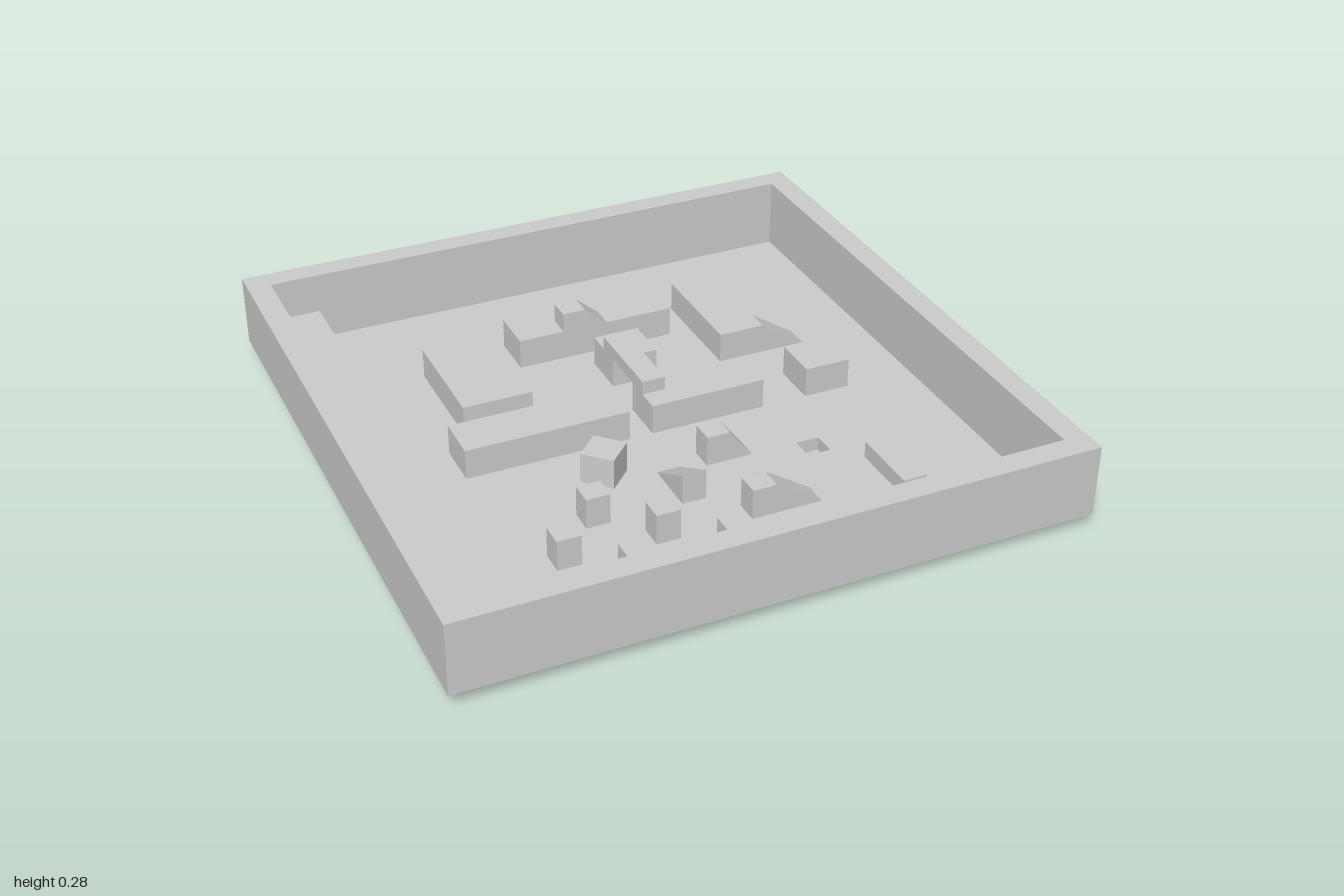
import * as THREE from 'three';

const FLOOR = 0.046, RIM = 0.28, H = 0.1;
const U = 1 / 13; // layout module, also the wall thickness

const material = new THREE.MeshStandardMaterial({ color: 0xcccccc, flatShading: true, side: THREE.DoubleSide });

// Rectangle in plan, x0..x1 by z0..z1 (shape y is -z)
function outline(Type, [x0, x1, z0, z1]) {
  const pts = [[x0, -z0], [x0, -z1], [x1, -z1], [x1, -z0]];
  return new Type(pts.map(([x, y]) => new THREE.Vector2(x, y)));
}

// Box without its bottom face
function shellGeometry([x0, x1, z0, z1], h) {
  const g = new THREE.BoxGeometry(x1 - x0, h, z1 - z0);
  const index = Array.from(g.index.array);
  index.splice(18, 6);
  g.setIndex(index);
  g.clearGroups();
  return g.translate(0, h / 2, 0);
}

export function createModel() {
  const group = new THREE.Group();
  const holes = [];

  function add(name, geometry, x = 0, y = 0, z = 0) {
    const mesh = new THREE.Mesh(geometry, material);
    mesh.name = name;
    mesh.position.set(x, y, z);
    group.add(mesh);
    return mesh;
  }

  // Hollow block on the floor, optionally cutting the floor beneath it
  function block(name, r, h = H, cut = true) {
    if (cut) holes.push(outline(THREE.Path, r));
    return add(name, shellGeometry(r, h), (r[0] + r[1]) / 2, FLOOR, (r[2] + r[3]) / 2);
  }

  // Recess hanging below the floor
  function pit(name, r, depth) {
    holes.push(outline(THREE.Path, r));
    const g = shellGeometry(r, depth).rotateX(Math.PI);
    add(name, g, (r[0] + r[1]) / 2, FLOOR, (r[2] + r[3]) / 2);
  }

  // Solid side profile in x/y, extruded from z0 to z1
  function wedge(name, pts, z0, z1, y) {
    const shape = new THREE.Shape(pts.map(([px, py]) => new THREE.Vector2(px, py)));
    const g = new THREE.ExtrudeGeometry(shape, { depth: z1 - z0, bevelEnabled: false });
    return add(name, g, 0, y, z0);
  }

  // Surrounding wall
  const inner = 1 - U;
  const ring = outline(THREE.Shape, [-1, 1, -1, 1]);
  ring.holes.push(outline(THREE.Path, [-inner, inner, -inner, inner]));
  const wall = new THREE.ExtrudeGeometry(ring, { depth: RIM - FLOOR, bevelEnabled: false });
  add('outerWall', wall.rotateX(-Math.PI / 2), 0, FLOOR, 0);

  // Long shelf beside the -x wall, hollow underneath
  block('sideShelf', [-inner, -10 * U, -inner, inner], H, false);

  // Large blocks
  const large = [
    [-7, -4, -7, -2], [-8, -1, -1, 1], [0, 5, -1, 1], [-3, 4, -8, -6],
    [5, 7, -8, -3], [0, 2, -5, -3], [7, 9, -1, 1],
  ];
  for (const r of large) block('largeBlock', r.map(v => v * U));

  // Small pillars, given by their lowest x and z
  for (const [x, z] of [[-5, 5], [-7, 7], [-3, 7], [-5, 9], [-1, 9]]) {
    block('smallPillar', [x * U, (x + 1) * U, z * U, (z + 1) * U]);
  }

  // Low bench near the front
  block('lowBench', [7 * U, 8 * U, 6 * U, 9 * U], 0.055);

  // Pillar turned by 45 degrees
  const s = U * Math.SQRT1_2;
  const turned = add('turnedPillar', shellGeometry([-s, s, -s, s], H), -3 * U, FLOOR, 3 * U);
  turned.rotation.y = Math.PI / 4;
  const diamond = [[-U, 0], [0, -U], [U, 0], [0, U]];
  holes.push(new THREE.Path(diamond.map(([x, y]) => new THREE.Vector2(x - 3 * U, y - 3 * U))));

  // Plank bridging two large blocks
  const plank = new THREE.BoxGeometry(U, 0.045, 4 * U);
  add('bridgePlank', plank, U / 2, FLOOR + H + 0.0225, -2 * U);

  // Ramp on top of the rear block
  wedge('upperRamp', [[-U, 0], [U, 0], [0, 0.065], [-U, 0.065]], -7 * U, -6 * U, FLOOR + H);

  // Ramps running down from blocks to the floor
  wedge('sideRamp', [[7 * U, 0], [9 * U, 0], [7 * U, H]], -4 * U, -3 * U, FLOOR);
  block('steepRampBlock', [U, 2 * U, 3 * U, 4 * U], H, false);
  wedge('steepRamp', [[2 * U, 0], [3 * U, 0], [2 * U, H]], 3 * U, 4 * U, FLOOR);
  block('longRampBlock', [U, 2 * U, 7 * U, 8 * U]);
  wedge('longRamp', [[2 * U, 0], [4 * U, 0], [2 * U, H]], 7 * U, 8 * U, FLOOR);

  // Ramp rising toward the front: hollow tall half, solid low half
  const zLow = 0.28, zMid = 5 * U, zHigh = 6 * U;
  const hMid = H * (zMid - zLow) / (zHigh - zLow);
  const tall = block('frontRampTop', [-U, 0, zMid, zHigh]).geometry;
  const pos = tall.attributes.position;
  for (let i = 0; i < pos.count; i++) {
    if (pos.getY(i) > 0.01 && pos.getZ(i) < 0) pos.setY(i, hMid);
  }
  tall.computeVertexNormals();
  const low = wedge('frontRampFoot', [[0, 0], [zMid - zLow, 0], [0, hMid]], 0, U, FLOOR);
  low.rotation.y = Math.PI / 2;
  low.position.set(-U, FLOOR, zMid);

  // Recesses
  pit('deepRecess', [5 * U, 6 * U, 4 * U, 5 * U], FLOOR);
  pit('smallRecess', [0.167, 0.205, 0.407, 0.445], 0.006);

  // Floor, cut out below the hollow blocks
  const plan = outline(THREE.Shape, [-10 * U, inner, -inner, inner]);
  plan.holes.push(...holes);
  add('floor', new THREE.ShapeGeometry(plan).rotateX(-Math.PI / 2), 0, FLOOR, 0);

  return group;
}
